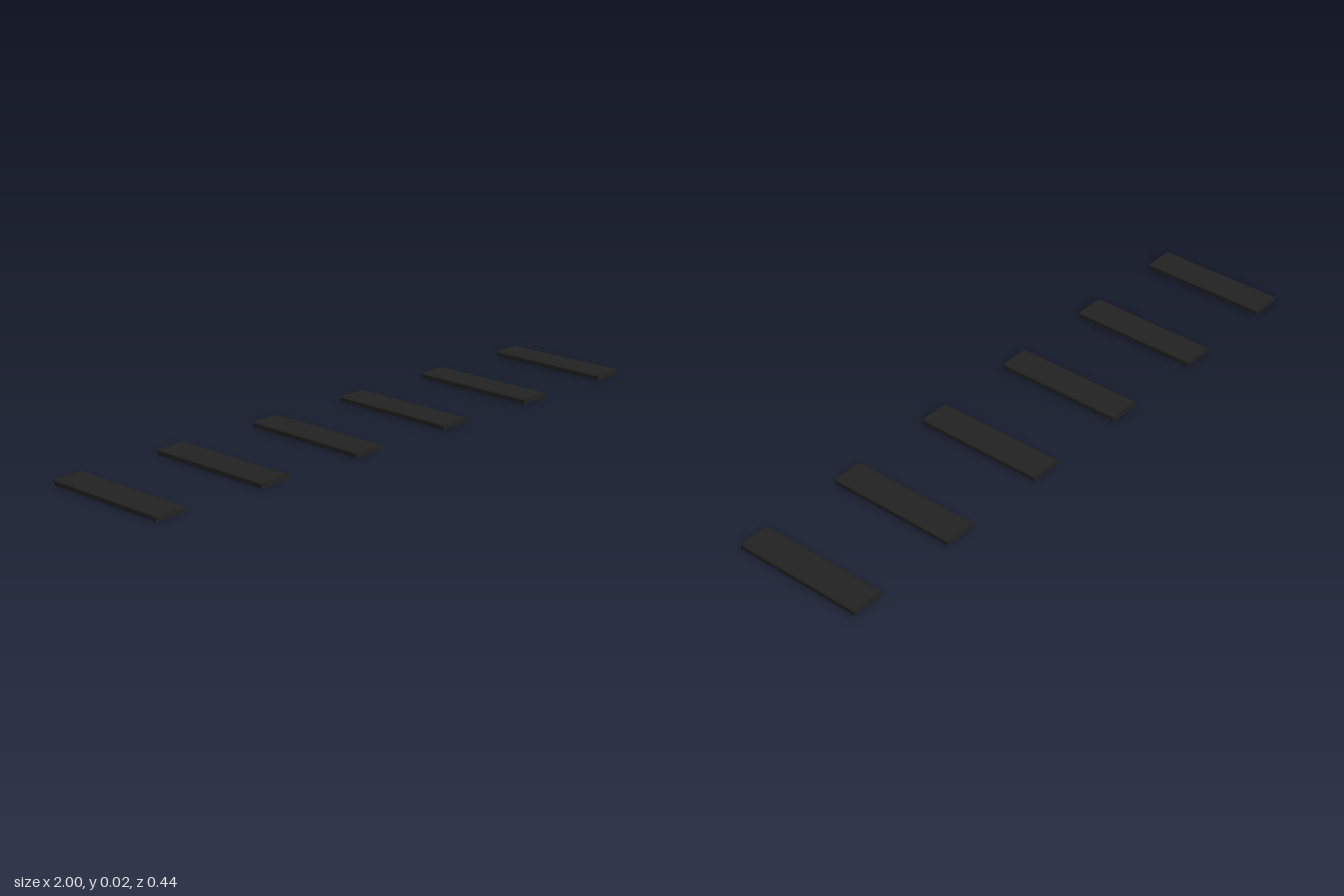
import * as THREE from 'three';

const COUNT = 6, WIDTH = 0.108, DEPTH = 0.436, HEIGHT = 0.018, EDGE = 0.013;

// Cross-section of a slat: flat base, short sides, eased upper edges
function slatGeometry() {
  const w = WIDTH / 2, ease = 0.018;
  const s = new THREE.Shape();
  s.moveTo(-w, 0);
  s.lineTo(w, 0);
  s.lineTo(w, EDGE);
  s.quadraticCurveTo(w - 0.004, HEIGHT, w - ease, HEIGHT);
  s.lineTo(-w + ease, HEIGHT);
  s.quadraticCurveTo(-w + 0.004, HEIGHT, -w, EDGE);
  s.closePath();
  const geo = new THREE.ExtrudeGeometry(s, { depth: DEPTH, bevelEnabled: false, curveSegments: 4 });
  return geo.translate(0, 0, -DEPTH / 2);
}

export function createModel() {
  const group = new THREE.Group();
  group.name = 'slatRow';
  const material = new THREE.MeshStandardMaterial({ color: 0x222222 });
  const geometry = slatGeometry();

  // Evenly spaced row of identical slats
  const span = 2 - WIDTH;
  for (let i = 0; i < COUNT; i++) {
    const slat = new THREE.Mesh(geometry, material);
    slat.name = `slat${i + 1}`;
    slat.position.x = -span / 2 + (span * i) / (COUNT - 1);
    group.add(slat);
  }
  return group;
}
